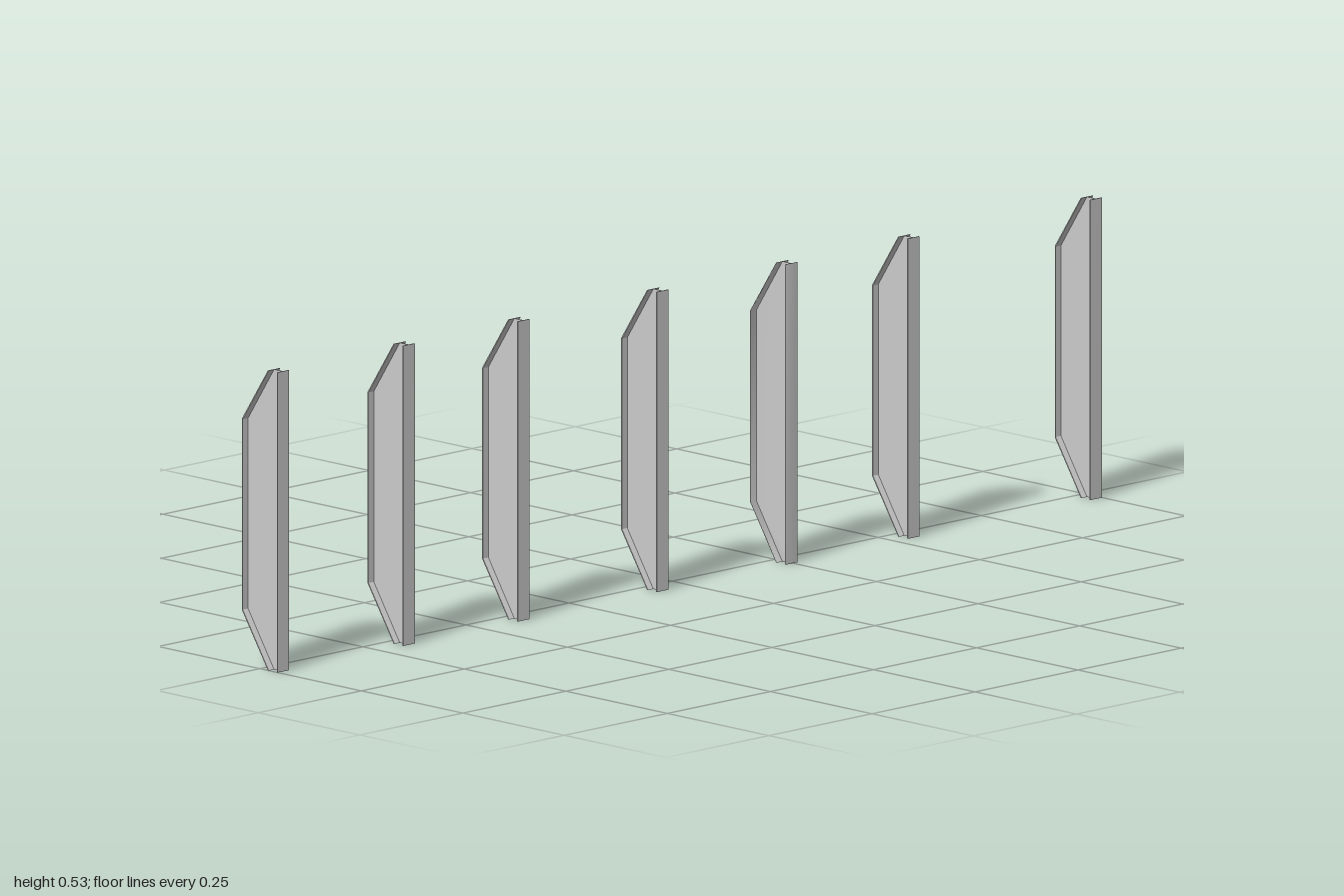
import * as THREE from 'three';
import { mergeVertices } from 'three/addons/utils/BufferGeometryUtils.js';

const HEIGHT = 0.531;  // full height of a post
const WIDTH = 0.028;   // flange width
const SHEET = 0.002;   // sheet thickness
const FRONT = 0.044, BEND = 0.02, BACK = -0.044;
const LOW = 0.097, HIGH = 0.436; // ends of the straight back run

// Extrude a (z, y) outline across x, centred on x = 0
function plate(points, width) {
  const shape = new THREE.Shape(points.map(([z, y]) => new THREE.Vector2(z, y)));
  const geometry = new THREE.ExtrudeGeometry(shape, { depth: width, bevelEnabled: false });
  geometry.translate(0, 0, -width / 2);
  geometry.rotateY(-Math.PI / 2);
  return geometry;
}

// Share vertices so the shading runs smoothly round the folds
function smooth(geometry) {
  geometry.deleteAttribute('uv');
  geometry.deleteAttribute('normal');
  const merged = mergeVertices(geometry);
  merged.computeVertexNormals();
  return merged;
}

export function createModel() {
  const model = new THREE.Group();
  model.name = 'postRow';
  const material = new THREE.MeshStandardMaterial({ color: 0xcccccc });

  const parts = {
    // Upright strip along the front
    frontFlange: plate([
      [FRONT - SHEET, 0], [FRONT, 0], [FRONT, HEIGHT], [FRONT - SHEET, HEIGHT],
    ], WIDTH),
    // Central sheet with tapered ends
    web: plate([
      [FRONT - SHEET, 0], [FRONT - SHEET, HEIGHT], [BEND, HEIGHT],
      [BACK + SHEET / 2, HIGH], [BACK + SHEET / 2, LOW], [BEND, 0],
    ], SHEET),
    // Strip folded round the sloping ends and the back
    rearFlange: plate([
      [BEND, 0], [BACK, LOW], [BACK, HIGH], [BEND, HEIGHT],
      [BEND + SHEET, HEIGHT], [BACK + SHEET, HIGH - SHEET / 2],
      [BACK + SHEET, LOW + SHEET / 2], [BEND + SHEET, 0],
    ], WIDTH),
  };

  // Unevenly spaced posts; the fifth has softened shading
  [-0.986, -0.681, -0.403, -0.066, 0.247, 0.543, 0.986].forEach((x, i) => {
    const post = new THREE.Group();
    post.name = `post${i + 1}`;
    for (const [name, geometry] of Object.entries(parts)) {
      const mesh = new THREE.Mesh(i === 4 ? smooth(geometry.clone()) : geometry, material);
      mesh.name = name;
      post.add(mesh);
    }
    post.position.x = x;
    model.add(post);
  });
  return model;
}
